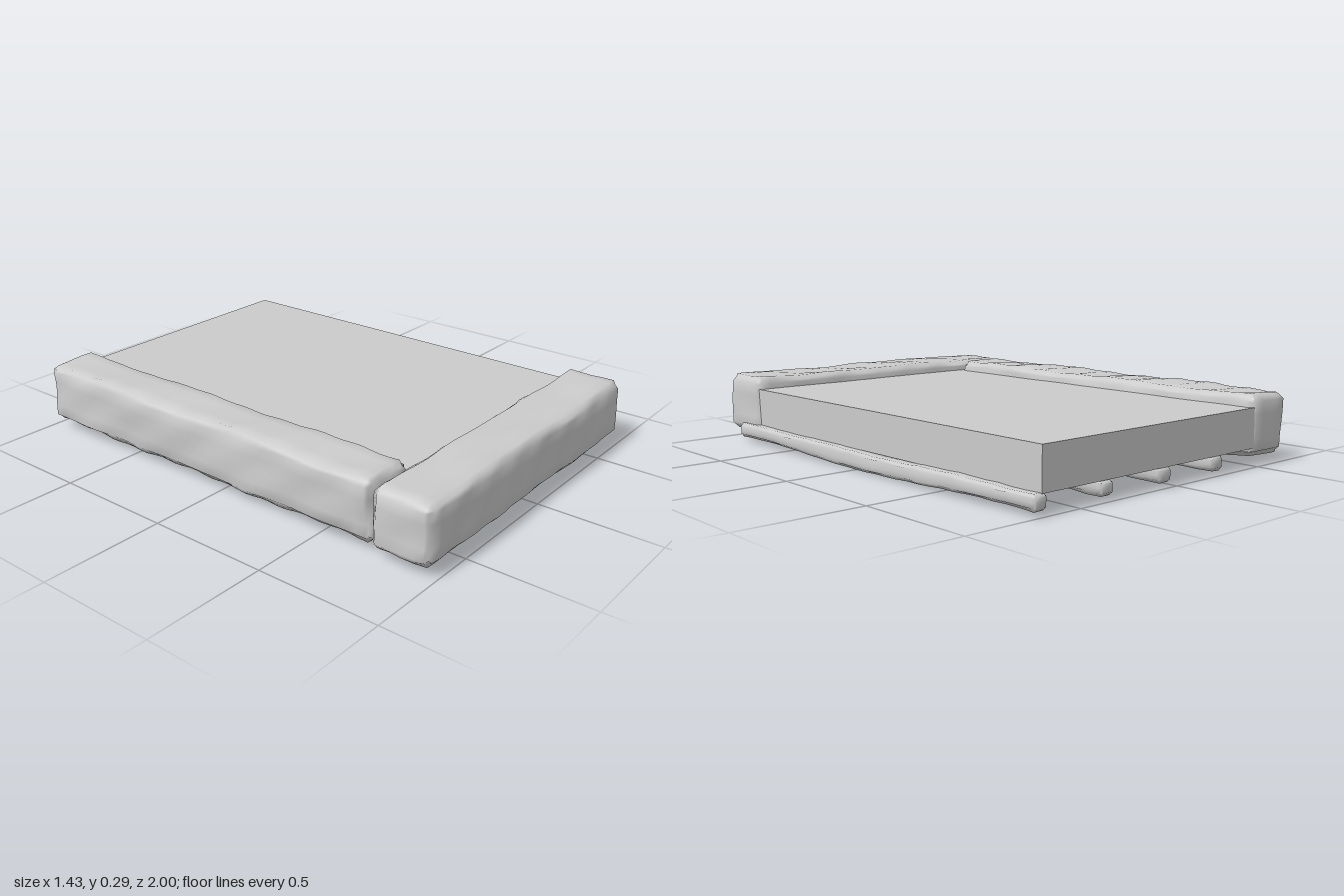
import * as THREE from 'three';
import { mergeVertices } from 'three/addons/utils/BufferGeometryUtils.js';

const material = new THREE.MeshStandardMaterial({ color: 0xcccccc });

// smooth, repeatable waviness in roughly -1..1
const wave = (a, b, c, seed) =>
  0.5 * Math.sin(a * 9 + seed * 1.7 + 2 * Math.sin(b * 7 + seed)) +
  0.3 * Math.sin(c * 21 + a * 13 + seed * 2.3) +
  0.2 * Math.sin(b * 37 + c * 33 + seed * 3.1);

// rough-hewn block: a box with worn edges and an uneven surface
function roughBlock(name, min, max, segments, bevel, rough, seed) {
  const size = max.map((v, i) => v - min[i]);
  const geo = new THREE.BoxGeometry(1, 1, 1, ...segments);
  geo.deleteAttribute('normal');
  geo.deleteAttribute('uv');
  const merged = mergeVertices(geo, 1e-4);
  const pos = merged.attributes.position;
  for (let v = 0; v < pos.count; v++) {
    const p = [pos.getX(v), pos.getY(v), pos.getZ(v)];
    const ends = p.map((t) => (Math.abs(t) > 0.499 ? Math.sign(t) : 0));
    const extremes = ends.filter((e) => e !== 0).length;
    const q = p.map((t, i) => {
      const n = segments[i];
      const k = Math.round((t + 0.5) * n);
      // first and last inner rows sit on the bevel line
      if (k === 0) return min[i];
      if (k === n) return max[i];
      return min[i] + bevel + ((k - 1) / (n - 2)) * (size[i] - 2 * bevel);
    });
    const pull = [0, 0, 0.35, 0.5][extremes] * bevel;
    const r = q.map((t, i) => {
      const [a, b, c] = [q[i], q[(i + 1) % 3], q[(i + 2) % 3]];
      // wear only eats inwards, so the block keeps its overall size
      const wear = rough * (0.5 + 0.5 * wave(b + a, c, b - c, seed + i + ends[i]));
      return t - ends[i] * (pull + wear * (extremes > 1 ? 1.4 : 1));
    });
    pos.setXYZ(v, ...r);
  }
  merged.computeVertexNormals();
  const mesh = new THREE.Mesh(merged, material);
  mesh.name = name;
  return mesh;
}

export function createModel() {
  const group = new THREE.Group();
  group.name = 'edgedPlatform';

  // flat deck slab, tucked into both kerbs
  const slab = new THREE.Mesh(new THREE.BoxGeometry(1.2, 0.16, 1.77), material);
  slab.name = 'deckSlab';
  slab.position.set(0.07, 0.155, -0.105);
  group.add(slab);

  // worn kerbs along the front and the right-hand side
  group.add(roughBlock('frontKerb', [-0.72, 0.035, 0.735], [0.693, 0.29, 1.0], [36, 6, 6], 0.035, 0.014, 1));
  group.add(roughBlock('sideKerb', [-0.7, 0.025, -1.0], [-0.453, 0.29, 0.74], [6, 6, 42], 0.035, 0.016, 5));

  // slightly sagging runners under the deck
  [-0.257, 0.053, 0.368, 0.678].forEach((x, i) => {
    const runner = roughBlock('runner', [x - 0.037, 0.016, -1.0], [x + 0.037, 0.082, 0.87], [4, 4, 30], 0.016, 0.008, 11 + i * 4);
    const pos = runner.geometry.attributes.position;
    for (let v = 0; v < pos.count; v++) {
      const z = pos.getZ(v);
      const sag = 0.018 * Math.exp(-Math.pow((z + 0.05) / 0.35, 2));
      pos.setY(v, pos.getY(v) - sag * (pos.getY(v) < 0.05 ? 1 : 0.3));
      if (i < 3) pos.setX(v, pos.getX(v) + 0.008 * Math.sin(z * 5 + i));
    }
    runner.geometry.computeVertexNormals();
    group.add(runner);
  });

  return group;
}
